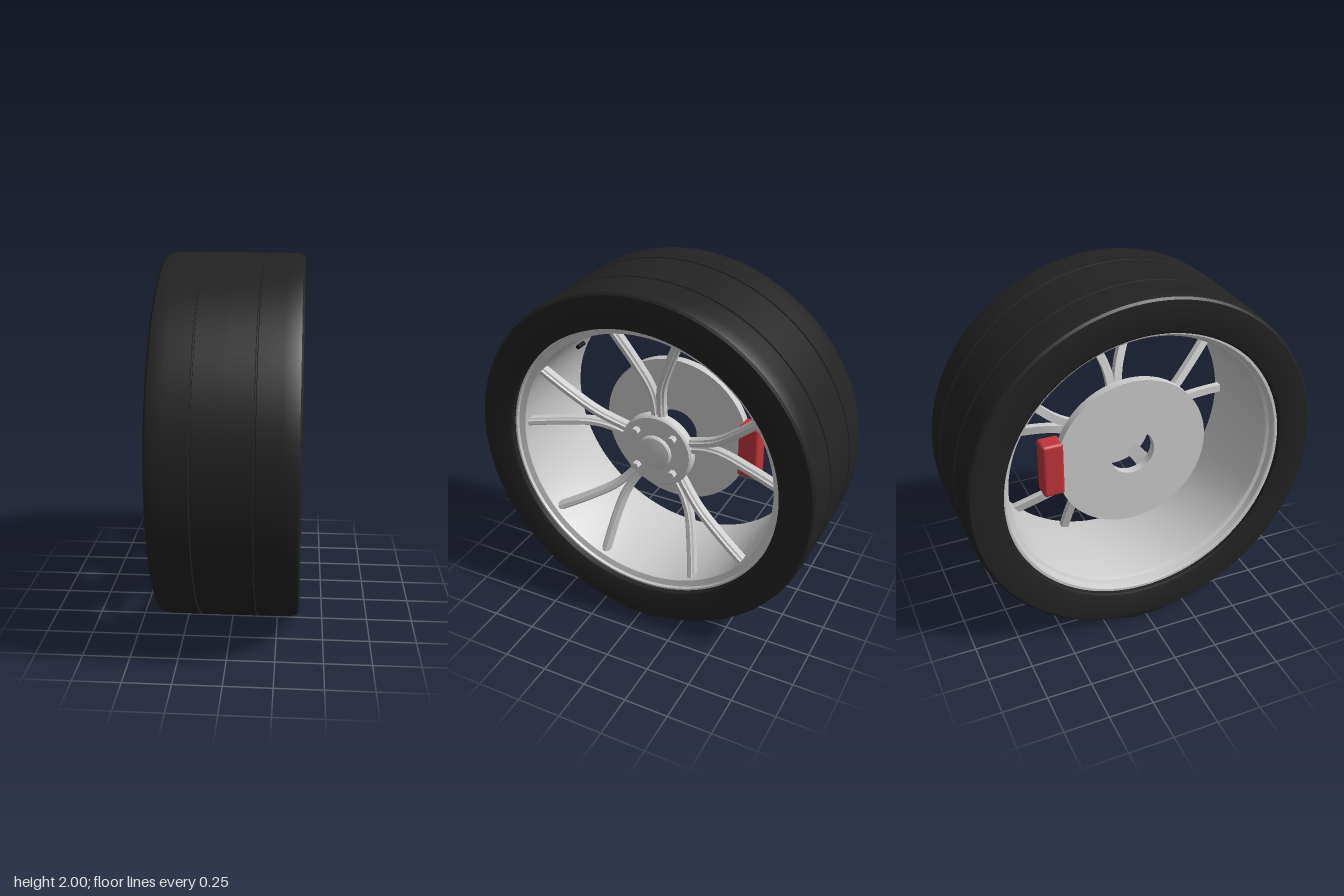
import * as THREE from 'three';
import { toCreasedNormals } from 'three/addons/utils/BufferGeometryUtils.js';
import { RoundedBoxGeometry } from 'three/addons/geometries/RoundedBoxGeometry.js';

const metal = new THREE.MeshStandardMaterial({ color: 0xcccccc });
const rubber = new THREE.MeshStandardMaterial({ color: 0x222222 });
const red = new THREE.MeshStandardMaterial({ color: 0xc0343a });
const black = new THREE.MeshStandardMaterial({ color: 0x111111 });

function add(parent, name, geometry, material) {
  const mesh = new THREE.Mesh(geometry, material);
  mesh.name = name;
  parent.add(mesh);
  return mesh;
}

// Revolve a [radius, x] profile around the wheel axle (the x axis)
function revolve(profile, segments = 96) {
  const g = new THREE.LatheGeometry(profile.map(([r, x]) => new THREE.Vector2(r, x)), segments);
  return g.rotateZ(-Math.PI / 2);
}

// One arm of a forked spoke: a bevelled section swept outward along +y
function spokeArm(side) {
  const path = new THREE.CatmullRomCurve3([
    [0.16, 0.018, 0.11], [0.3, 0.021, 0.13], [0.4, 0.038, 0.155], [0.57, 0.107, 0.21], [0.77, 0.205, 0.275],
  ].map(([r, offset, x]) => new THREE.Vector3(x, r, offset * side)));
  // Section corners: [sideways, forward]
  const section = [[-0.023, -0.03], [0.023, -0.03], [0.023, 0.008], [0.013, 0.014],
    [0.011, 0.026], [-0.011, 0.026], [-0.013, 0.014], [-0.023, 0.008]];
  const steps = 20, n = section.length, positions = [], index = [];
  for (let i = 0; i <= steps; i++) {
    const p = path.getPoint(i / steps), t = path.getTangent(i / steps);
    const across = new THREE.Vector3(0, -t.z, t.y).normalize();
    for (const [s, f] of section) positions.push(p.x + f, p.y + across.y * s, p.z + across.z * s);
  }
  for (let i = 0; i < steps; i++) {
    for (let j = 0; j < n; j++) {
      const a = i * n + j, b = i * n + (j + 1) % n;
      index.push(a, b, b + n, a, b + n, a + n);
    }
  }
  const g = new THREE.BufferGeometry();
  g.setAttribute('position', new THREE.Float32BufferAttribute(positions, 3));
  g.setIndex(index);
  return toCreasedNormals(g, 0.4);
}

// Tyre with two tread grooves and a flattened contact patch
function tyreGeometry() {
  const half = [[1, 0], [1, 0.144], [0.988, 0.147], [0.988, 0.153], [1, 0.156], [0.999, 0.28],
    [0.996, 0.335], [0.99, 0.358], [0.978, 0.368], [0.95, 0.37], [0.815, 0.37], [0.8, 0.362]];
  const mirrored = half.slice(1).reverse().map(([r, x]) => [r, -x]);
  const g = revolve([...mirrored, ...half, mirrored[0]], 144);
  const pos = g.attributes.position;
  for (let i = 0; i < pos.count; i++) {
    if (pos.getY(i) < -0.985) pos.setY(i, -1);
  }
  return toCreasedNormals(g, 0.5);
}

export function createModel() {
  const model = new THREE.Group();
  model.name = 'wheel';
  const wheel = new THREE.Group();
  wheel.name = 'wheelAssembly';
  wheel.position.y = 1;
  model.add(wheel);

  add(wheel, 'tyre', tyreGeometry(), rubber);

  // Rim barrel with a lip at each end
  add(wheel, 'rim', toCreasedNormals(revolve([
    [0.802, -0.34], [0.802, 0.33], [0.79, 0.33], [0.785, 0.315], [0.752, 0.305], [0.748, 0.295],
    [0.748, -0.27], [0.755, -0.29], [0.772, -0.3], [0.778, -0.335], [0.785, -0.34], [0.802, -0.34],
  ]), 0.5), metal);

  // Five forked spokes, dished in towards the hub
  for (let k = 0; k < 5; k++) {
    const spoke = new THREE.Group();
    spoke.name = 'spoke' + (k + 1);
    spoke.rotation.x = k * Math.PI * 2 / 5;
    for (const side of [-1, 1]) add(spoke, 'spokeArm', spokeArm(side), metal);
    wheel.add(spoke);
  }

  // Hub plate and centre cap
  add(wheel, 'hub', toCreasedNormals(revolve([
    [0, 0.1], [0.215, 0.1], [0.215, 0.148], [0.205, 0.158], [0, 0.162],
  ], 64), 0.5), metal);
  add(wheel, 'centreCap', toCreasedNormals(revolve([
    [0.1, 0.15], [0.1, 0.172], [0.092, 0.18], [0.05, 0.186], [0, 0.188],
  ], 48), 0.5), metal);

  // Four hexagonal wheel bolts
  for (const y of [-0.11, 0.11]) {
    for (const z of [-0.11, 0.11]) {
      const g = new THREE.CylinderGeometry(0.023, 0.023, 0.05, 6).rotateZ(-Math.PI / 2);
      add(wheel, 'bolt', toCreasedNormals(g, 0.5), metal).position.set(0.17, y, z);
    }
  }

  // Brake disc with a central hole
  add(wheel, 'brakeDisc', toCreasedNormals(revolve([
    [0.13, -0.15], [0.44, -0.15], [0.44, -0.1], [0.13, -0.1], [0.13, -0.15],
  ]), 0.5), metal);

  // Brake caliper
  add(wheel, 'brakeCaliper', new RoundedBoxGeometry(0.11, 0.32, 0.12, 4, 0.018), red)
    .position.set(-0.105, 0, -0.46);

  // Valve stem
  add(wheel, 'valve', new THREE.CylinderGeometry(0.011, 0.011, 0.06, 16).rotateZ(-Math.PI / 2), black)
    .position.set(0.27, 0.61, 0.375);

  return model;
}
